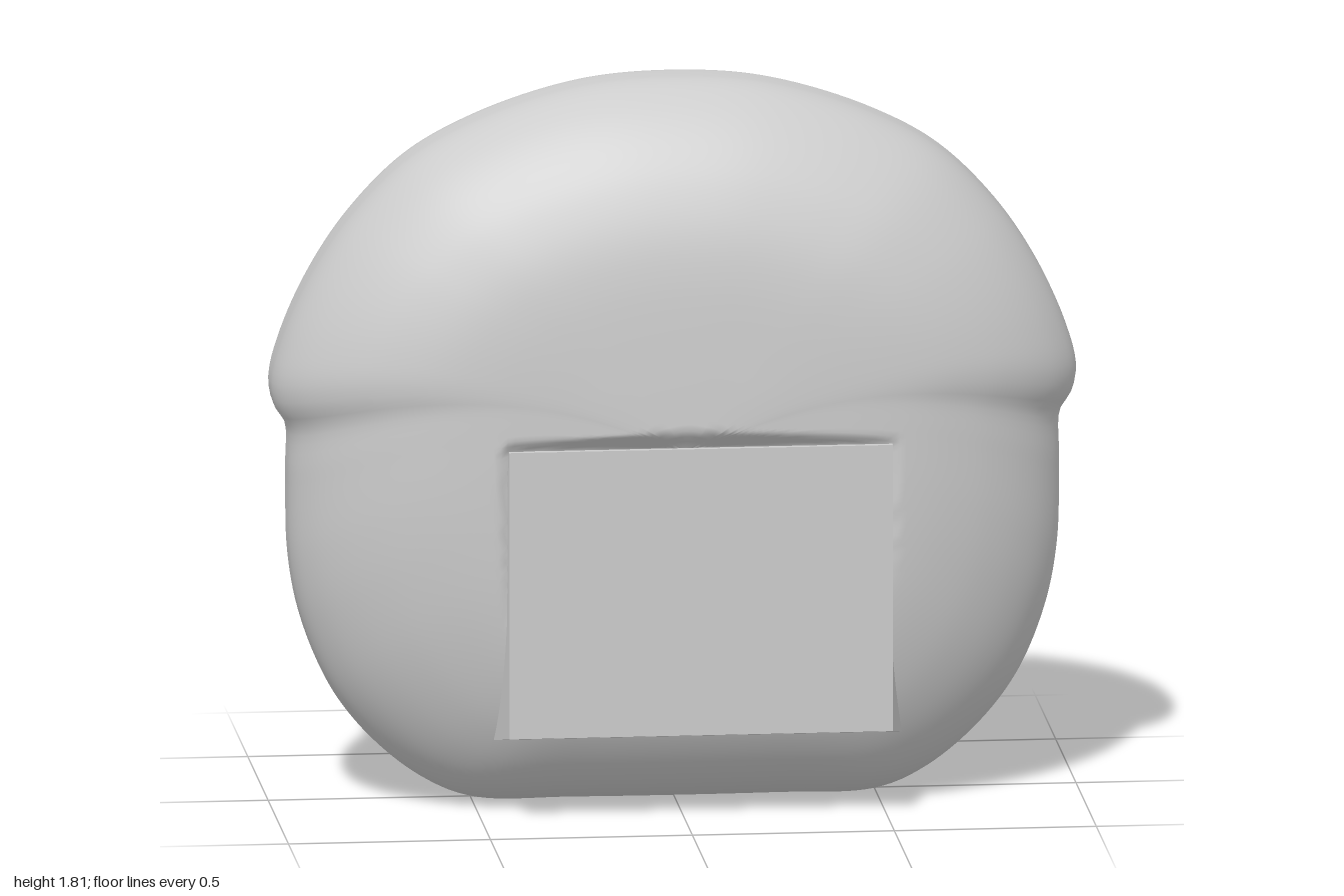
import * as THREE from 'three';
import { mergeVertices } from 'three/addons/utils/BufferGeometryUtils.js';

const CENTRE_Y = 0.93;
const PANEL = { x0: -0.44, x1: 0.51, y0: 0.22, y1: 0.942, z: 0.367 };

// Right half of the outline, from top to bottom
const HALF = [
  [0.13, 1.805], [0.3, 1.775], [0.5, 1.705], [0.66, 1.615], [0.8, 1.475], [0.9, 1.325],
  [0.97, 1.17], [0.997, 1.06], [0.985, 0.995], [0.957, 0.95], [0.955, 0.83], [0.95, 0.62],
  [0.92, 0.46], [0.85, 0.29], [0.75, 0.16], [0.62, 0.055], [0.5, 0.006], [0.25, 0],
];

// Half thickness against distance from the centre (0) to the rim (1)
const DEPTH = [
  [0, 0.394], [0.25, 0.383], [0.5, 0.365], [0.62, 0.344], [0.72, 0.312], [0.8, 0.275],
  [0.88, 0.222], [0.94, 0.164], [0.98, 0.103], [0.995, 0.062], [1, 0.03],
];

function outlinePoints(count) {
  const right = HALF.map(([x, y]) => new THREE.Vector3(x, y, 0));
  const left = HALF.map(([x, y]) => new THREE.Vector3(-x, y, 0)).reverse();
  const curve = new THREE.CatmullRomCurve3([...right, ...left], true, 'centripetal');
  return curve.getSpacedPoints(count).slice(0, count);
}

// Flat bed under the panel, rising again just outside it
function bedLimit(x, y) {
  const dx = Math.max(PANEL.x0 - x, x - PANEL.x1, 0);
  const dy = Math.max(PANEL.y0 - y, y - PANEL.y1, 0);
  return 0.35 + 0.9 * Math.hypot(dx, dy);
}

// Puffy body: rings from the front apex over the rim to the back apex
function bodyGeometry() {
  const count = 260, steps = 64;
  const outline = outlinePoints(count);
  const profile = new THREE.CatmullRomCurve3(
    DEPTH.map(([f, z]) => new THREE.Vector3(f, z, 0)), false, 'centripetal').getSpacedPoints(steps);
  const rings = [
    ...profile.map((p) => [p.x, p.y]),
    ...profile.map((p) => [p.x, -p.y]).reverse(),
  ];
  const positions = [], index = [];
  for (const [f, depth] of rings) {
    for (const p of outline) {
      const dx = p.x, dy = p.y - CENTRE_Y;
      const side = dx * dx / (dx * dx + dy * dy);
      // the side fold arches upward on its way to the centre
      const x = dx * f;
      const y = CENTRE_Y + dy * f + 0.45 * f * (1 - f) * side * side;
      const z = depth > 0 ? Math.min(depth, bedLimit(x, y)) : depth;
      positions.push(x, y, z);
    }
  }
  for (let r = 0; r < rings.length - 1; r++) {
    for (let i = 0; i < count; i++) {
      const j = (i + 1) % count;
      const a = r * count + i, b = r * count + j, c = a + count, d = b + count;
      // the outline runs clockwise seen from the front
      if (r > 0) index.push(a, b, c);
      if (r < rings.length - 2) index.push(b, d, c);
    }
  }
  const geometry = new THREE.BufferGeometry();
  geometry.setAttribute('position', new THREE.Float32BufferAttribute(positions, 3));
  geometry.setIndex(index);
  const merged = mergeVertices(geometry, 1e-5);
  merged.computeVertexNormals();
  return merged;
}

// Flat panel whose lower edge flares out where it meets the body
function panelGeometry() {
  const w = PANEL.x1 - PANEL.x0, h = PANEL.y1 - PANEL.y0, thick = 0.13;
  const midX = (PANEL.x0 + PANEL.x1) / 2, midY = (PANEL.y0 + PANEL.y1) / 2;
  const geometry = new THREE.BoxGeometry(w, h, thick).toNonIndexed();
  geometry.translate(midX, midY, PANEL.z - thick / 2);
  const pos = geometry.attributes.position;
  for (let i = 0; i < pos.count; i++) {
    if (pos.getZ(i) < PANEL.z - thick / 2 && pos.getY(i) < midY) {
      pos.setX(i, pos.getX(i) + 0.035 * Math.sign(pos.getX(i) - midX));
      pos.setY(i, pos.getY(i) - 0.03);
    }
  }
  geometry.computeVertexNormals();
  return geometry;
}

export function createModel() {
  const grey = new THREE.MeshStandardMaterial({ color: 0xcccccc });
  grey.name = 'light grey';

  const group = new THREE.Group();
  group.name = 'puffyCushion';

  const body = new THREE.Mesh(bodyGeometry(), grey);
  body.name = 'body';
  group.add(body);

  const panel = new THREE.Mesh(panelGeometry(), grey);
  panel.name = 'frontPanel';
  group.add(panel);

  return group;
}
